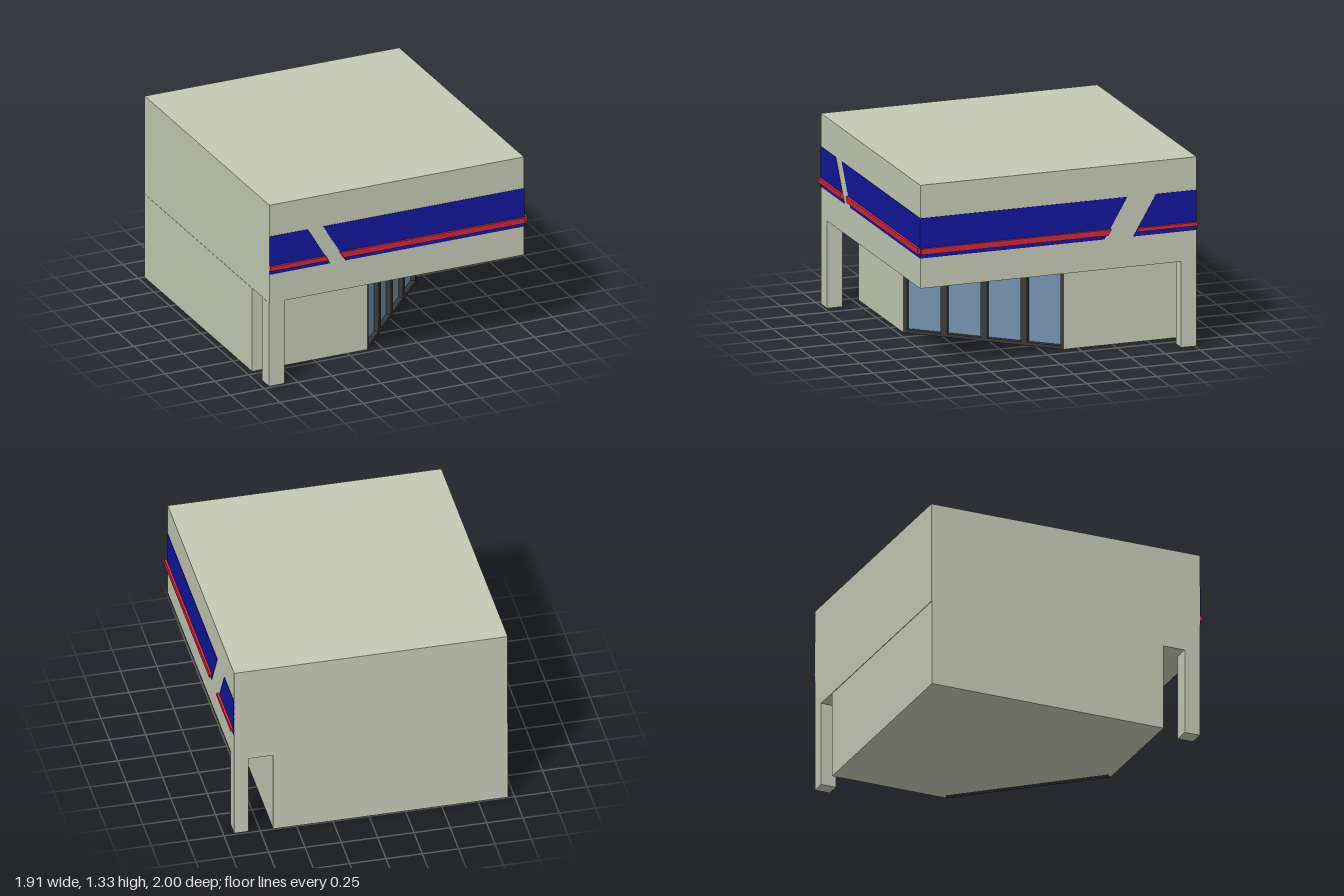
import * as THREE from 'three';

const mat = (color) => new THREE.MeshStandardMaterial({ color });
const wallMat = mat(0xc4c8b4), blueMat = mat(0x12169a), redMat = mat(0xcc2640);
const frameMat = mat(0x383838), glassMat = mat(0x7290ac);

function add(parent, name, geometry, material) {
  const mesh = new THREE.Mesh(geometry, material);
  mesh.name = name;
  parent.add(mesh);
  return mesh;
}

// Box given by its minimum and maximum corners
function block(parent, name, [x0, y0, z0], [x1, y1, z1], material) {
  const mesh = add(parent, name, new THREE.BoxGeometry(x1 - x0, y1 - y0, z1 - z0), material);
  mesh.position.set((x0 + x1) / 2, (y0 + y1) / 2, (z0 + z1) / 2);
  return mesh;
}

function extrude(points, depth, holes = []) {
  const shape = new THREE.Shape(points.map(([x, y]) => new THREE.Vector2(x, y)));
  holes.forEach((h) => shape.holes.push(new THREE.Path(h.map(([x, y]) => new THREE.Vector2(x, y)))));
  return new THREE.ExtrudeGeometry(shape, { depth, bevelEnabled: false });
}

const rect = (x0, y0, x1, y1) => [[x0, y0], [x1, y0], [x1, y1], [x0, y1]];

// Strip with slanted ends: [left, right] at the bottom and at the top
function strip(parent, name, y0, y1, bottom, top, from, thickness, material) {
  const points = [[bottom[0], y0], [bottom[1], y0], [top[1], y1], [top[0], y1]];
  const geometry = extrude(points, thickness);
  geometry.translate(0, 0, from);
  return add(parent, name, geometry, material);
}

export function createModel() {
  const model = new THREE.Group();
  model.name = 'shopBuilding';
  const H = 0.61;

  // Overhanging upper storey and its corner pillars
  block(model, 'upperStorey', [-0.953, H, -1], [0.93, 1.33, 0.98], wallMat);
  block(model, 'frontPillar', [-0.955, 0, 0.867], [-0.84, H, 0.98], wallMat);
  block(model, 'backPillar', [0.83, 0.01, -1], [0.93, H, -0.89], wallMat);

  // Ground floor with a cut-off corner; the diagonal is recessed for the window
  const a = new THREE.Vector2(-0.1, 0.71), b = new THREE.Vector2(0.66, -0.15);
  const along = b.clone().sub(a), width = along.length();
  along.divideScalar(width);
  const normal = new THREE.Vector2(-along.y, along.x);
  const recess = 0.045;
  const a2 = a.clone().addScaledVector(normal, -recess);
  const b2 = b.clone().addScaledVector(normal, -recess);
  const plan = [[-0.955, -0.996], [-0.955, 0.71], [a.x, a.y], [a2.x, a2.y], [b2.x, b2.y], [b.x, b.y], [0.66, -0.996]];
  const ground = extrude(plan.map(([x, z]) => [x, -z]), H);
  ground.rotateX(-Math.PI / 2);
  add(model, 'groundFloor', ground, wallMat);

  // Corner window: one frame with four openings and recessed panes
  const windowGroup = new THREE.Group();
  windowGroup.name = 'cornerWindow';
  windowGroup.position.set(a.x, 0, a.y);
  windowGroup.rotation.y = Math.atan2(-along.y, along.x);
  model.add(windowGroup);
  const edge = 0.023, mullion = 0.047;
  const paneWidth = (width - 2 * edge - 3 * mullion) / 4;
  const openings = [];
  for (let i = 0; i < 4; i++) {
    const x = edge + i * (paneWidth + mullion);
    openings.push(rect(x, 0.022, x + paneWidth, 0.587));
    block(windowGroup, 'windowPane', [x, 0.022, -0.043], [x + paneWidth, 0.587, -0.034], glassMat);
  }
  const frame = extrude(rect(0, 0, width, H), 0.044, openings);
  frame.translate(0, 0, -0.044);
  add(windowGroup, 'windowFrame', frame, frameMat);

  // Front fascia: painted panels and raised stripes, broken by a slanted gap
  const front = new THREE.Group();
  front.name = 'frontFascia';
  model.add(front);
  strip(front, 'bluePanel', 0.82, 1.1, [-0.953, -0.503], [-0.953, -0.668], 0.979, 0.004, blueMat);
  strip(front, 'bluePanel', 0.82, 1.1, [-0.39, 0.93], [-0.555, 0.93], 0.979, 0.004, blueMat);
  strip(front, 'redStripe', 0.85, 0.883, [-0.953, -0.52], [-0.953, -0.538], 0.981, 0.019, redMat);
  strip(front, 'redStripe', 0.85, 0.891, [-0.412, 0.93], [-0.435, 0.93], 0.981, 0.019, redMat);

  // Side fascia: drawn along -z and turned to face +x
  const side = new THREE.Group();
  side.name = 'sideFascia';
  side.rotation.y = Math.PI / 2;
  model.add(side);
  strip(side, 'bluePanel', 0.82, 1.1, [-0.98, 0.34], [-0.98, 0.503], 0.929, 0.004, blueMat);
  strip(side, 'bluePanel', 0.82, 1.1, [0.547, 1], [0.711, 1], 0.929, 0.004, blueMat);
  strip(side, 'redStripe', 0.85, 0.891, [-0.98, 0.36], [-0.98, 0.383], 0.938, 0.017, redMat);
  strip(side, 'redStripe', 0.855, 0.88, [0.567, 1], [0.581, 1], 0.938, 0.017, redMat);

  return model;
}
